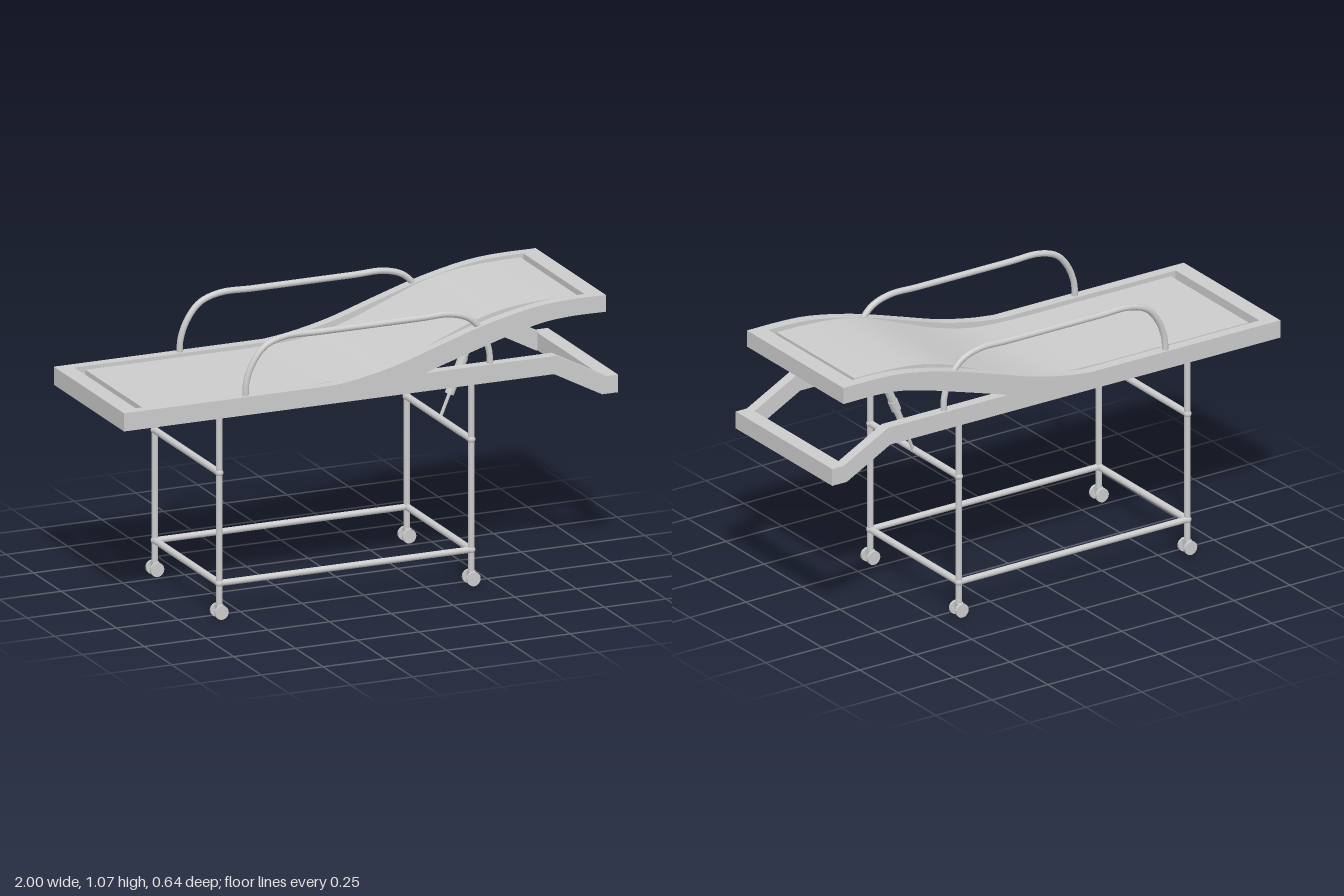
import * as THREE from 'three';
import { toCreasedNormals } from 'three/addons/utils/BufferGeometryUtils.js';

const material = new THREE.MeshStandardMaterial({ color: 0xcccccc });
const V = (x, y, z) => new THREE.Vector3(x, y, z);

export function createModel() {
  const root = new THREE.Group();

  function add(geometry, name) {
    const mesh = new THREE.Mesh(geometry, material);
    mesh.name = name;
    root.add(mesh);
    return mesh;
  }

  // Box given by its min and max corners
  function block(name, a, b) {
    const mesh = add(new THREE.BoxGeometry(b[0] - a[0], b[1] - a[1], b[2] - a[2]), name);
    mesh.position.set((a[0] + b[0]) / 2, (a[1] + b[1]) / 2, (a[2] + b[2]) / 2);
  }

  // Round bar between two points
  function bar(name, a, b, r, r2 = r) {
    const dir = b.clone().sub(a);
    const mesh = add(new THREE.CylinderGeometry(r2, r, dir.length(), 20), name);
    mesh.position.copy(a).add(b).multiplyScalar(0.5);
    mesh.quaternion.setFromUnitVectors(V(0, 1, 0), dir.normalize());
  }

  // Side profile in x,y extruded from z0 to z1
  function profile(name, points, z0, z1) {
    const shape = new THREE.Shape(points.map(p => new THREE.Vector2(p[0], p[1])));
    const geo = new THREE.ExtrudeGeometry(shape, { depth: z1 - z0, bevelEnabled: false });
    geo.translate(0, 0, z0);
    add(toCreasedNormals(geo, 0.4), name);
  }

  // Smooth list of points through a few given ones
  const smooth = (pts, n = 32) =>
    new THREE.CatmullRomCurve3(pts.map(p => V(p[0], p[1], 0)), false, 'centripetal')
      .getPoints(n).map(p => [p.x, p.y]);

  const backTop = smooth([[-0.15, 0.85], [-0.05, 0.863], [0.1, 0.895], [0.28, 0.951],
    [0.45, 1.003], [0.6, 1.038], [0.7, 1.054], [0.8, 1.06], [0.95, 1.06]]);
  const backBottom = smooth([[0.95, 0.995], [0.8, 0.995], [0.7, 0.986], [0.6, 0.964],
    [0.45, 0.921], [0.3, 0.876], [0.21, 0.848]]);

  const inner = 0.276, outer = 0.318;
  for (const s of [1, -1]) {
    const z0 = s > 0 ? inner : -outer, z1 = s > 0 ? outer : -inner;
    // Lower frame rail with the dropped head end
    profile('frameRail', [[-1, 0.78], [0.74, 0.78], [0.935, 0.677], [1, 0.677], [1, 0.745],
      [0.95, 0.745], [0.75, 0.85], [-1, 0.85]], z0, z1);
    // Raised backrest rail
    profile('backrestRail', [...backTop, ...backBottom, [-0.15, 0.848]], z0, z1);

    // Bent hand rail
    const path = new THREE.CatmullRomCurve3([V(-0.5, 0.84, s * 0.298), V(-0.496, 0.9, s * 0.297),
      V(-0.47, 0.97, s * 0.296), V(-0.42, 1.03, s * 0.296), V(-0.34, 1.058, s * 0.296),
      V(-0.2, 1.058, s * 0.296), V(0.2, 1.058, s * 0.296), V(0.33, 1.058, s * 0.296),
      V(0.41, 1.03, s * 0.296), V(0.46, 0.97, s * 0.296), V(0.486, 0.9, s * 0.297),
      V(0.49, 0.84, s * 0.298)], false, 'centripetal');
    add(new THREE.TubeGeometry(path, 80, 0.012, 14), 'handRail');
  }
  block('footEndBar', [-1, 0.78, -inner], [-0.935, 0.85, inner]);
  block('lowerHeadBar', [0.94, 0.677, -inner], [1, 0.745, inner]);
  block('backrestHeadBar', [0.882, 0.995, -inner], [0.95, 1.06, inner]);

  // Lying surface following the raised back
  const lying = smooth([[-0.9, 0.843], [-0.5, 0.843], [-0.15, 0.845], [0, 0.858], [0.15, 0.895],
    [0.3, 0.951], [0.45, 1.008], [0.56, 1.036], [0.7, 1.05], [0.86, 1.054]], 48);
  profile('lyingPanel', [...lying, ...lying.map(p => [p[0], p[1] - 0.052]).reverse()], -0.255, 0.255);
  // Plate that carries the strut
  profile('strutPlate', [[0.48, 0.93], [0.6, 0.965], [0.6, 0.995], [0.48, 0.96]], -inner, inner);

  // Legs, cross bars and casters
  const legZ = 0.291;
  for (const x of [-0.603, 0.417]) {
    for (const s of [1, -1]) {
      const z = s * legZ;
      bar('leg', V(x, 0.045, z), V(x, 0.79, z), 0.012);
      for (const y of [0.135, 0.562]) {
        const joint = add(new THREE.SphereGeometry(0.0155, 16, 12), 'joint');
        joint.position.set(x, y, z);
      }
      block('casterFork', [x - 0.012, 0.032, z - 0.014], [x + 0.012, 0.054, z + 0.014]);
      bar('casterAxle', V(x, 0.027, z - 0.024), V(x, 0.027, z + 0.024), 0.008);
      for (const t of [1, -1])
        bar('wheel', V(x, 0.027, z + t * 0.015), V(x, 0.027, z + t * 0.026), 0.027);
    }
    bar('lowerCrossBar', V(x, 0.135, -legZ), V(x, 0.135, legZ), 0.013);
    bar('upperCrossBar', V(x, 0.562, -legZ), V(x, 0.562, legZ), 0.013);
  }
  for (const s of [1, -1])
    bar('lowerSideBar', V(-0.603, 0.135, s * legZ), V(0.417, 0.135, s * legZ), 0.012);

  // Lifting strut: stepped cylinders along one sloping line
  const onStrut = y => V(0.425 + (y - 0.57) * 0.42, y, 0);
  [[0.565, 0.655, 0.0065], [0.65, 0.695, 0.018], [0.69, 0.75, 0.013], [0.745, 0.785, 0.019],
    [0.78, 0.935, 0.016], [0.93, 0.968, 0.009]]
    .forEach(([y0, y1, r]) => bar('liftStrut', onStrut(y0), onStrut(y1), r));

  return root;
}
